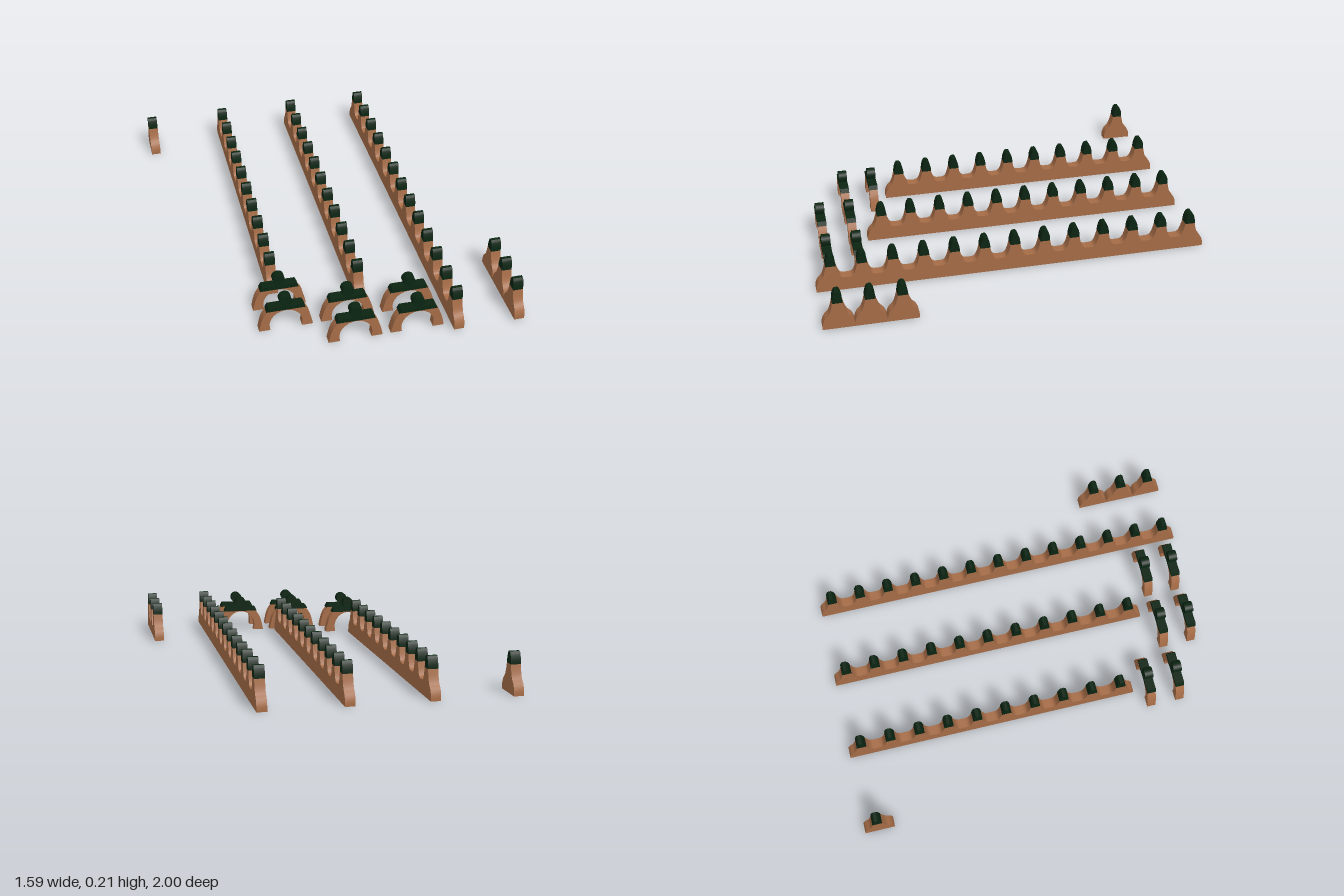
import * as THREE from 'three';
import { toCreasedNormals } from 'three/addons/utils/BufferGeometryUtils.js';

const WIDTH = 0.05;       // thickness of the ridge pieces
const PITCH = 2 / 13;     // spacing of the crests
const ARCH_DEPTH = 0.045;

const clay = new THREE.MeshStandardMaterial({ color: 0xa56c47 });
clay.name = 'terracotta';
const green = new THREE.MeshStandardMaterial({ color: 0x0b2412 });
green.name = 'darkGreen';

// Smooth run of 2D points through a few guides
const smooth = (pts, n = 12) =>
  new THREE.SplineCurve(pts.map(([x, y]) => new THREE.Vector2(x, y))).getPoints(n);
const mirror = (pts) => pts.map(([x, y]) => [-x, y]).reverse();

// Extrude a profile centred on its depth; alongZ turns the profile's x to +z
function slab(points, depth, alongZ) {
  const g = new THREE.ExtrudeGeometry(new THREE.Shape(points), { depth, bevelEnabled: false });
  g.translate(0, 0, -depth / 2);
  if (alongZ) g.rotateY(-Math.PI / 2);
  return toCreasedNormals(g, 0.6);
}

function add(parent, name, geometry, material, x = 0, y = 0, z = 0) {
  const mesh = new THREE.Mesh(geometry, material);
  mesh.name = name;
  mesh.position.set(x, y, z);
  parent.add(mesh);
}

// Flanks of a crest, from the outside in
const endFlank = [[-PITCH / 2, 0], [-0.0755, 0.028], [-0.064, 0.056], [-0.046, 0.076], [-0.034, 0.104], [-0.025, 0.142]];
const valleyFlank = [[-PITCH / 2, 0.071], [-0.06, 0.072], [-0.046, 0.079], [-0.034, 0.104], [-0.025, 0.142]];

// Domed crest cap
const capSide = [[0.025, 0.142], [0.023, 0.165], [0.016, 0.19], [0.008, 0.202]];
const capGeometry = slab([...smooth(capSide, 8), ...smooth(mirror(capSide), 8)], WIDTH, true);

// A ridge of joined crests, running from zStart towards +z
function ridge(name, x, zStart, count) {
  const group = new THREE.Group();
  group.name = name;
  const outline = [];
  for (let i = 0; i < count; i++) {
    const centre = (i + 0.5) * PITCH;
    const left = i === 0 ? endFlank : valleyFlank;
    const right = mirror(i === count - 1 ? endFlank : valleyFlank);
    const run = [...smooth(left), ...smooth(right)];
    if (i > 0) run.shift();
    run.forEach((p) => outline.push(new THREE.Vector2(p.x + centre, p.y)));
    add(group, 'crestCap', capGeometry, green, 0, 0, centre);
  }
  add(group, 'ridgeBody', slab(outline.reverse(), WIDTH, true), clay);
  // the ridges rise very slightly towards the front
  group.position.set(x, 0.004 + 0.004 * zStart, zStart);
  group.rotation.x = -0.004;
  return group;
}

// Arch body: curved outer legs around a round opening
function archBody() {
  const outer = [[-0.133, 0], [-0.126, 0.035], [-0.113, 0.078], [-0.09, 0.115]];
  const inner = [];
  for (let i = 0; i <= 24; i++) {
    const a = (Math.PI * i) / 24;
    inner.push(new THREE.Vector2(0.081 * Math.cos(a), 0.03 + 0.081 * Math.sin(a)));
  }
  return slab([
    ...smooth(outer), ...smooth(mirror(outer)),
    new THREE.Vector2(0.078, 0), ...inner, new THREE.Vector2(-0.078, 0),
  ], ARCH_DEPTH, false);
}

// Flat tapered cap on the arch
const archCap = slab([[-0.096, 0.114], [0.096, 0.114], [0.085, 0.136], [-0.085, 0.136]]
  .map(([x, y]) => new THREE.Vector2(x, y)), ARCH_DEPTH + 0.002, false);
const archBodyGeometry = archBody();
const discGeometry = new THREE.CylinderGeometry(0.03, 0.03, ARCH_DEPTH, 28).rotateX(Math.PI / 2);

function arch(x, z) {
  const group = new THREE.Group();
  group.name = 'arch';
  add(group, 'archBody', archBodyGeometry, clay);
  add(group, 'archCap', archCap, green);
  add(group, 'archDisc', discGeometry, green, 0, 0.166, 0);
  group.position.set(x, 0.002, z);
  return group;
}

export function createModel() {
  const model = new THREE.Group();
  model.name = 'ridgeTiles';

  // Three long ridges
  [[-0.36, 10], [0.05, 11], [0.46, 13]].forEach(([x, count]) =>
    model.add(ridge('longRidge', x, -1, count)));

  // Single crests standing apart
  model.add(ridge('singleCrest', -0.77, -1, 1));
  for (let i = 1; i <= 3; i++) model.add(ridge('singleCrest', 0.767, 1 - i * PITCH, 1));

  // Six arches
  [[-0.347, 0.615], [-0.347, 0.77], [-0.04, 0.77], [-0.04, 0.923], [0.267, 0.77], [0.267, 0.923]]
    .forEach(([x, z]) => model.add(arch(x, z)));

  return model;
}
